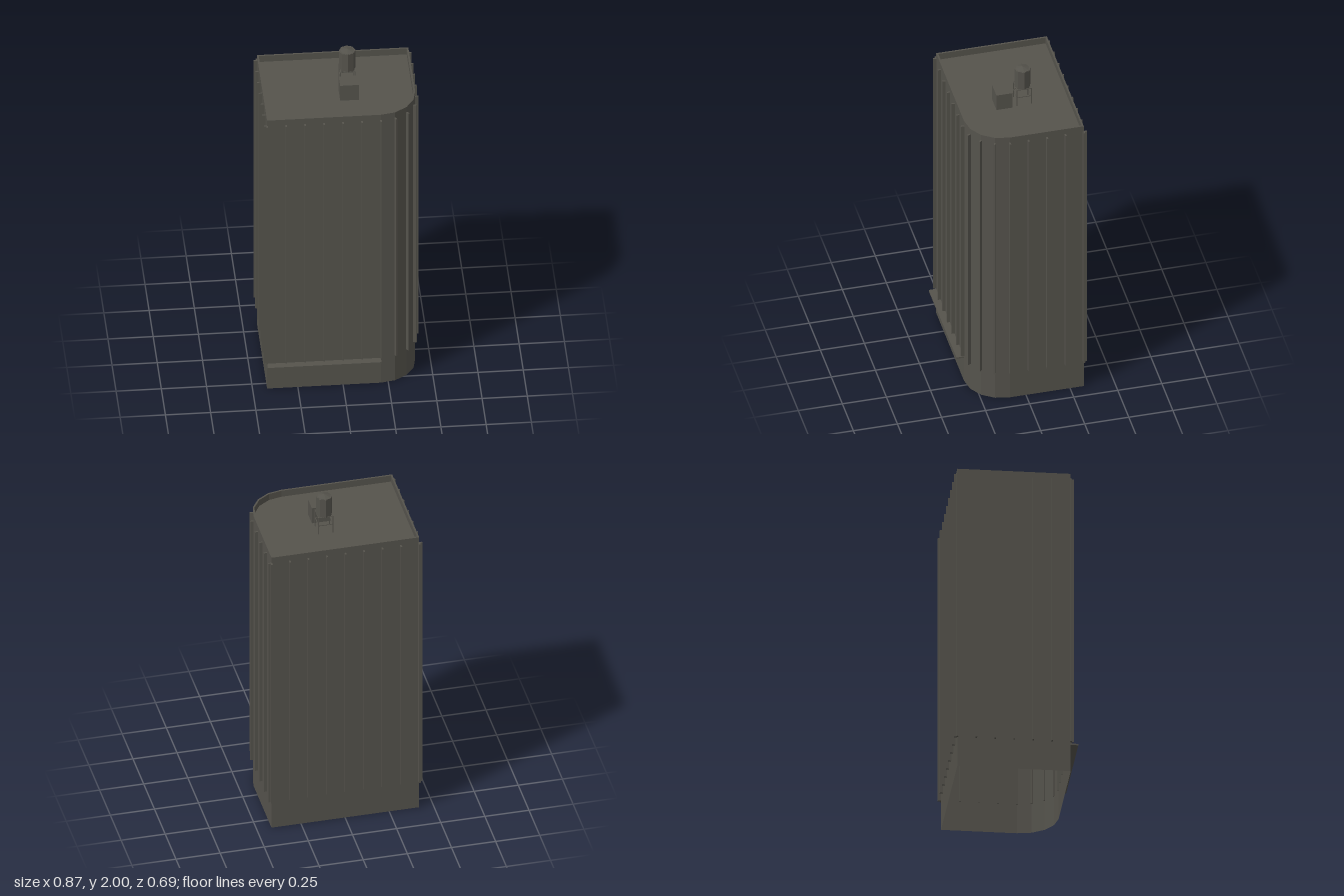
import * as THREE from 'three';

const mat = new THREE.MeshStandardMaterial({ color: 0x55534c, flatShading: true, side: THREE.DoubleSide });

const L = -0.42, R = 0.417, BACK = -0.328, FRONT = 0.3; // footprint limits
const ROOF = 1.765, TOP = 1.805;
const CX = 0.209, CZ = 0.092, RAD = 0.208;              // rounded front corner

// Footprint as [x, z] points, inset by d
function outline(d = 0) {
  const pts = [[L + d, BACK + d], [R - d, BACK + d]];
  for (let i = 0; i <= 4; i++) {
    const a = (i / 4) * Math.PI / 2;
    pts.push([CX + (RAD - d) * Math.cos(a), CZ + (RAD - d) * Math.sin(a)]);
  }
  pts.push([L + d, FRONT - d]);
  return pts;
}

const toShape = (pts) => new THREE.Shape(pts.map(([x, z]) => new THREE.Vector2(x, -z)));

// Open vertical shell following the footprint
function wallGeometry(pts, y0, y1) {
  const pos = [];
  pts.forEach(([ax, az], i) => {
    const [bx, bz] = pts[(i + 1) % pts.length];
    pos.push(ax, y0, az, ax, y1, az, bx, y0, bz, bx, y0, bz, ax, y1, az, bx, y1, bz);
  });
  const g = new THREE.BufferGeometry();
  g.setAttribute('position', new THREE.Float32BufferAttribute(pos, 3));
  g.computeVertexNormals();
  return g;
}

export function createModel() {
  const model = new THREE.Group();
  model.name = 'towerBlock';

  const add = (parent, name, geo, x = 0, y = 0, z = 0) => {
    const m = new THREE.Mesh(geo, mat);
    m.name = name;
    m.position.set(x, y, z);
    parent.add(m);
    return m;
  };
  const box = (parent, name, w, h, d, x, y, z) =>
    add(parent, name, new THREE.BoxGeometry(w, h, d), x, y, z);

  // Walls (open underneath), roof deck and parapet
  add(model, 'walls', wallGeometry(outline(), 0, ROOF));
  add(model, 'roof', new THREE.ShapeGeometry(toShape(outline(0.005))).rotateX(-Math.PI / 2), 0, ROOF, 0);
  const rim = toShape(outline());
  rim.holes.push(toShape(outline(0.01)));
  add(model, 'parapet',
    new THREE.ExtrudeGeometry(rim, { depth: TOP - ROOF, bevelEnabled: false }).rotateX(-Math.PI / 2), 0, ROOF, 0);

  // Vertical fins; angle is the outward direction in the ground plane
  const fins = new THREE.Group();
  fins.name = 'fins';
  model.add(fins);
  const finGeo = new THREE.BoxGeometry(0.024, 1.595, 0.009);
  const fin = (x, z, angle) => {
    const m = add(fins, 'fin', finGeo, x + 0.006 * Math.cos(angle), 0.9725, z + 0.006 * Math.sin(angle));
    m.rotation.y = -angle;
  };
  const STEP = 0.1048;
  for (let i = 0; i < 9; i++) fin(L + i * STEP, BACK, -Math.PI / 2);
  for (let i = 0; i < 7; i++) fin(L, BACK + i * STEP, Math.PI);
  for (let i = 0; i < 4; i++) fin(R, BACK + i * STEP, 0);
  for (let i = 0; i < 6; i++) fin(L + i * STEP, FRONT, Math.PI / 2);
  for (let i = 0; i <= 4; i++) {
    const a = (i / 4) * Math.PI / 2;
    fin(CX + RAD * Math.cos(a), CZ + RAD * Math.sin(a), a);
  }

  // Thin canopy along the front
  box(model, 'canopy', 0.629, 0.009, 0.042, -0.1055, 0.163, 0.321);

  // Rooftop stair housing
  box(model, 'roofHousing', 0.105, 0.1, 0.09, 0.0555, ROOF + 0.05, 0.045);

  // Water tank on a braced frame
  const tank = new THREE.Group();
  tank.name = 'waterTank';
  tank.position.set(0.056, 0, -0.07);
  model.add(tank);
  add(tank, 'tankBody', new THREE.CylinderGeometry(0.045, 0.045, 0.12, 8), 0, 1.93, 0);
  add(tank, 'tankCap', new THREE.ConeGeometry(0.046, 0.012, 8), 0, 1.994, 0);
  const H = 0.0405;
  for (const s of [-1, 1]) {
    for (const t of [-1, 1]) box(tank, 'tankLeg', 0.005, 0.108, 0.005, s * H, ROOF + 0.054, t * H);
    for (const y of [1.82, 1.871]) {
      box(tank, 'tankBrace', 2 * H, 0.004, 0.004, 0, y, s * H);
      box(tank, 'tankBrace', 0.004, 0.004, 2 * H, s * H, y, 0);
    }
  }

  return model;
}
